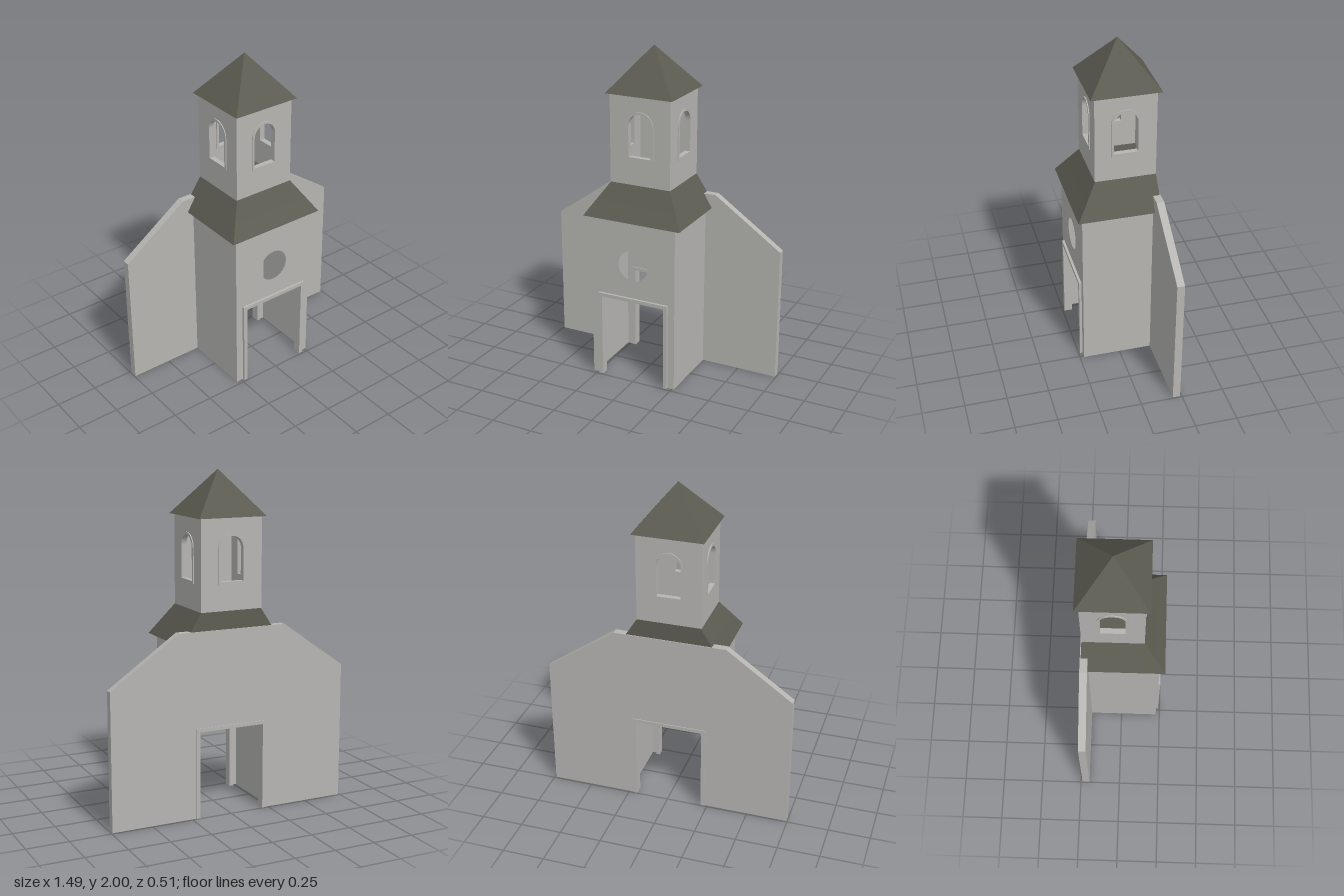
import * as THREE from 'three';

const CX = -0.008, CZ = -0.05; // belfry axis

function polygon(points) {
  return new THREE.Shape(points.map(([x, y]) => new THREE.Vector2(x, y)));
}

// Outline of a round-headed window, r = half width
function arch(Type, r, bottom, spring) {
  const p = new Type();
  p.moveTo(-r, bottom);
  p.lineTo(r, bottom);
  p.lineTo(r, spring);
  p.absarc(0, spring, r, 0, Math.PI, false);
  p.lineTo(-r, bottom);
  return p;
}

function extrude(shape, depth, z = 0) {
  const g = new THREE.ExtrudeGeometry(shape, { depth, bevelEnabled: false, curveSegments: 16 });
  return g.translate(0, 0, z);
}

// Faceted solid through rectangular sections [x0, x1, z0, z1, y], bottom to top
function loft(sections) {
  const rings = sections.map(([x0, x1, z0, z1, y]) => [[x0, y, z1], [x1, y, z1], [x1, y, z0], [x0, y, z0]]);
  const pos = [];
  const quad = (a, b, c, d) => [a, b, c, a, c, d].forEach(p => pos.push(...p));
  for (let i = 0; i < rings.length - 1; i++) {
    for (let j = 0; j < 4; j++) {
      const k = (j + 1) % 4;
      quad(rings[i][j], rings[i][k], rings[i + 1][k], rings[i + 1][j]);
    }
  }
  const [a, b, c, d] = rings[0];
  quad(d, c, b, a);
  const [e, f, g, h] = rings[rings.length - 1];
  quad(e, f, g, h);
  const geo = new THREE.BufferGeometry();
  geo.setAttribute('position', new THREE.Float32BufferAttribute(pos, 3));
  geo.computeVertexNormals();
  return geo;
}

export function createModel() {
  const model = new THREE.Group();
  model.name = 'bellTower';
  const stone = new THREE.MeshStandardMaterial({ color: 0xb6b5b2 });
  stone.name = 'greyStone';
  const slate = new THREE.MeshStandardMaterial({ color: 0x5d5c52 });
  slate.name = 'darkRoof';

  function add(name, geometry, material, parent = model) {
    const mesh = new THREE.Mesh(geometry, material);
    mesh.name = name;
    parent.add(mesh);
    return mesh;
  }

  // Doorway outer edge, shared by the gable and the tower front
  const doorway = [[0.22, 0], [0.22, 0.54], [-0.235, 0.54], [-0.235, 0]];

  // Wide gable wall behind the tower
  add('gableWall', extrude(polygon([
    [-0.745, 0], [-0.745, 0.825], [-0.35, 1.105], [0.325, 1.105], [0.742, 0.815], [0.742, 0], ...doorway,
  ]), 0.045, -0.24), stone);

  // Tower front with doorway and round window
  const front = polygon([[-0.28, 0], [-0.28, 1.02], [0.262, 1.02], [0.262, 0], ...doorway]);
  front.holes.push(new THREE.Path().absarc(-0.008, 0.745, 0.095, 0, Math.PI * 2, true));
  add('towerFront', extrude(front, 0.02, 0.205), stone);

  // Tower side walls
  for (const x of [-0.2725, 0.2545]) {
    add('towerSide', new THREE.BoxGeometry(0.015, 1.02, 0.4).translate(x, 0.51, 0.005), stone);
  }

  // Door frames, front and back
  const frame = polygon([
    [-0.235, 0], [-0.235, 0.54], [0.22, 0.54], [0.22, 0],
    [0.197, 0], [0.197, 0.518], [-0.21, 0.518], [-0.21, 0],
  ]);
  add('frontDoorFrame', extrude(frame, 0.05, 0.19), stone);
  add('backDoorFrame', extrude(frame, 0.055, -0.245), stone);

  // Skirt roof, cut off against the gable
  add('skirtRoof', loft([
    [-0.318, 0.302, -0.2, 0.255, 1.02],
    [-0.265, 0.25, -0.235, 0.198, 1.105],
    [-0.198, 0.184, -0.23, 0.13, 1.21],
  ]), slate);

  // Belfry: four walls with arched openings and raised surrounds
  const belfry = new THREE.Group();
  belfry.name = 'belfry';
  belfry.position.set(CX, 0, CZ);
  model.add(belfry);
  const t = 0.02, halfX = 0.192, halfZ = 0.18;
  for (let i = 0; i < 4; i++) {
    const side = new THREE.Group();
    side.name = 'belfrySide';
    side.rotation.y = i * Math.PI / 2;
    belfry.add(side);
    const half = i % 2 ? halfZ - t : halfX;
    const face = i % 2 ? halfX : halfZ;
    const wall = polygon([[-half, 1.205], [half, 1.205], [half, 1.742], [-half, 1.742]]);
    wall.holes.push(arch(THREE.Path, 0.085, 1.362, 1.565));
    add('belfryWall', extrude(wall, t, face - t), stone, side);
    const surround = arch(THREE.Shape, 0.085, 1.362, 1.565);
    surround.holes.push(arch(THREE.Path, 0.071, 1.378, 1.565));
    add('windowSurround', extrude(surround, t + 0.012, face - t - 0.006), stone, side);
  }

  // Pyramid roof
  add('spireRoof', loft([
    [-0.218, 0.204, -0.255, 0.155, 1.74],
    [CX, CX, CZ, CZ, 2],
  ]), slate);

  return model;
}
